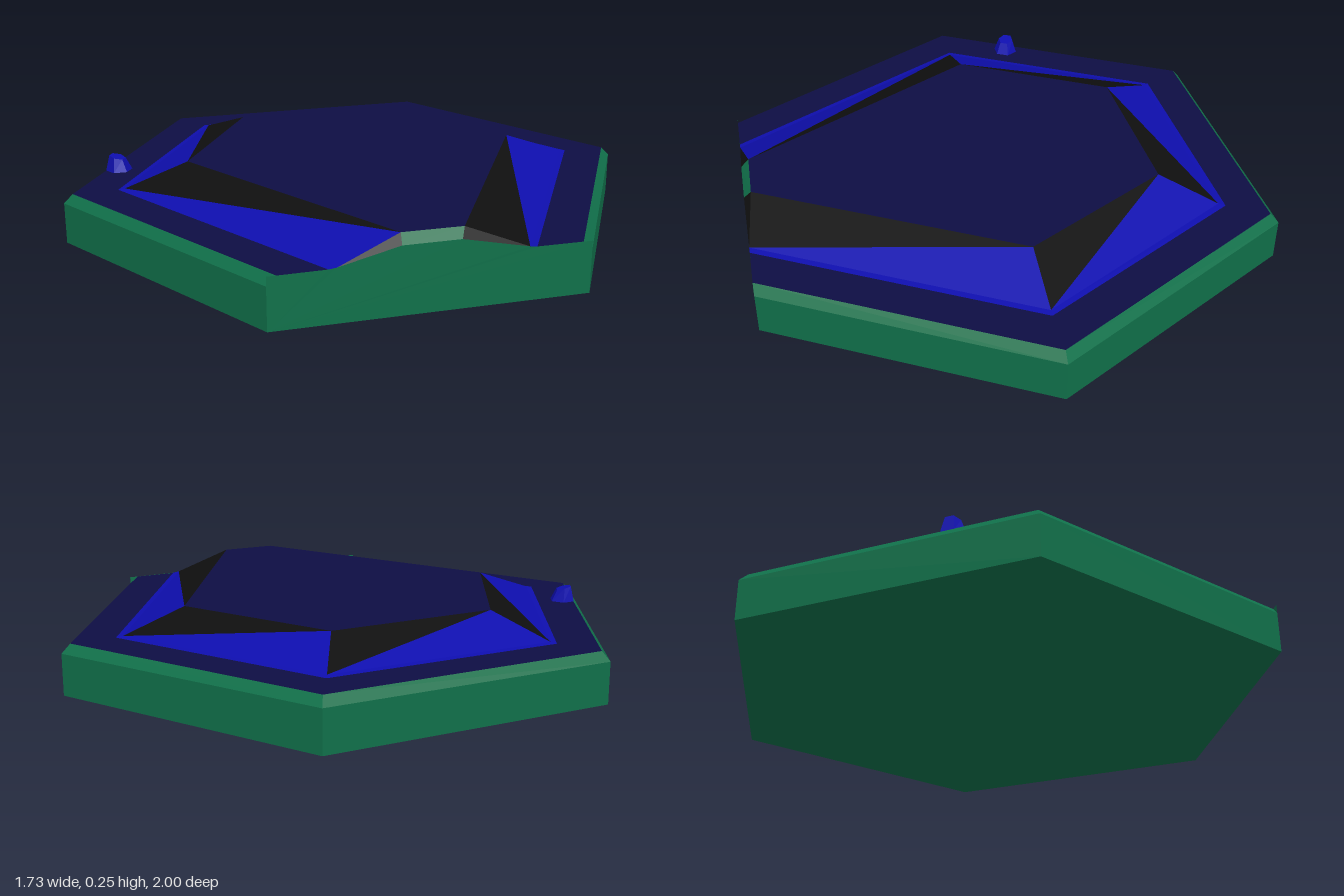
import * as THREE from 'three';

const mat = (name, color) => {
  const m = new THREE.MeshStandardMaterial({ color, side: THREE.DoubleSide });
  m.name = name;
  return m;
};

// Builds one flat-shaded mesh from polygons, each fanned from its first corner and turned outward
const centre = new THREE.Vector3(0, 0.08, 0);
function facets(name, material, polygons) {
  const pos = [];
  for (const poly of polygons) {
    const p = poly.map((c) => new THREE.Vector3(...c));
    for (let i = 1; i < p.length - 1; i++) {
      let [a, b, c] = [p[0], p[i], p[i + 1]];
      const n = b.clone().sub(a).cross(c.clone().sub(a));
      if (n.dot(a.clone().add(b).add(c).divideScalar(3).sub(centre)) < 0) [b, c] = [c, b];
      for (const v of [a, b, c]) pos.push(v.x, v.y, v.z);
    }
  }
  const g = new THREE.BufferGeometry();
  g.setAttribute('position', new THREE.Float32BufferAttribute(pos, 3));
  g.computeVertexNormals();
  const mesh = new THREE.Mesh(g, material);
  mesh.name = name;
  return mesh;
}

const at = (y, ring) => ring.map(([x, z]) => [x, y, z]);
// Quads joining two open rings of equal length
const strip = (a, b) => a.slice(1).map((p, i) => [a[i], p, b[i + 1], b[i]]);

export function createModel() {
  const group = new THREE.Group();
  const green = mat('green side', 0x10704a);
  const navy = mat('navy ground', 0x0e0e44);
  const blue = mat('blue slope', 0x0e0eae);
  const black = mat('black slope', 0x0f0f0f);

  // Rings run from the front corner round the left-hand side to the open front edge
  const hex = [[0, 1], [-0.866, 0.5], [-0.866, -0.5], [0, -1], [0.866, -0.5], [0.866, 0.5]];
  const rim = at(0.17, [[0.026, 0.985], [-0.84, 0.485], [-0.84, -0.485], [0, -0.97], [0.84, -0.485], [0.84, 0.515]]);
  const skirt = at(0.171, [[0.156, 0.91], [-0.71, 0.41], [-0.71, -0.41], [0, -0.82], [0.71, -0.41], [0.71, 0.59]]);
  const foot = at(0.174, [[0.178, 0.897], [-0.69, 0.4], [-0.69, -0.4], [0, -0.795], [0.69, -0.4], [0.69, 0.602]]);
  const crest = at(0.25, [[0.335, 0.775], [-0.505, 0.29], [-0.505, -0.29], [0, -0.585], [0.505, -0.29], [0.505, 0.68]]);
  const lip = [[0.345, 0.22, 0.801], [0.505, 0.22, 0.709]];

  // Tile body
  const floor = at(0, hex), shoulder = at(0.14, hex);
  group.add(facets('baseFloor', green, [floor]));
  group.add(facets('baseWalls', green, strip(floor, shoulder)));
  group.add(facets('baseBevel', green, strip(shoulder, rim)));

  // Front wall that follows the section of the hill
  group.add(facets('frontWall', green, [[
    [0, 0, 1], [0, 0.17, 1], skirt[0], foot[0], ...lip, foot[5], skirt[5], [0.866, 0.17, 0.5], [0.866, 0, 0.5],
  ]]));
  group.add(facets('frontLip', green, [[...lip, crest[5], crest[0]]]));

  // Ground and plateau
  group.add(facets('ground', navy, [rim]));
  group.add(facets('plateau', navy, [crest]));

  // Hillside: every slope is split corner to corner into a blue and a black face
  const blueFaces = strip(skirt, foot), blackFaces = [];
  for (let i = 0; i < 5; i++) {
    blueFaces.push([crest[i], foot[i], foot[i + 1]]);
    blackFaces.push([crest[i], crest[i + 1], foot[i + 1]]);
  }
  blackFaces.push([crest[0], lip[0], foot[0]], [crest[5], lip[1], foot[5]]);
  group.add(facets('blueSlopes', blue, blueFaces));
  group.add(facets('blackSlopes', black, blackFaces));

  // Small rock with a tilted top
  const rock = new THREE.CylinderGeometry(0.028, 0.046, 0.055, 6).toNonIndexed();
  const p = rock.attributes.position;
  for (let i = 0; i < p.count; i++) {
    if (p.getY(i) > 0) {
      p.setY(i, p.getY(i) - 0.006 - p.getX(i) * 0.25);
      p.setX(i, p.getX(i) - 0.004);
    }
  }
  rock.computeVertexNormals();
  const stone = new THREE.Mesh(rock, blue);
  stone.name = 'smallRock';
  stone.position.set(-0.801, 0.1965, 0.2);
  group.add(stone);

  return group;
}
